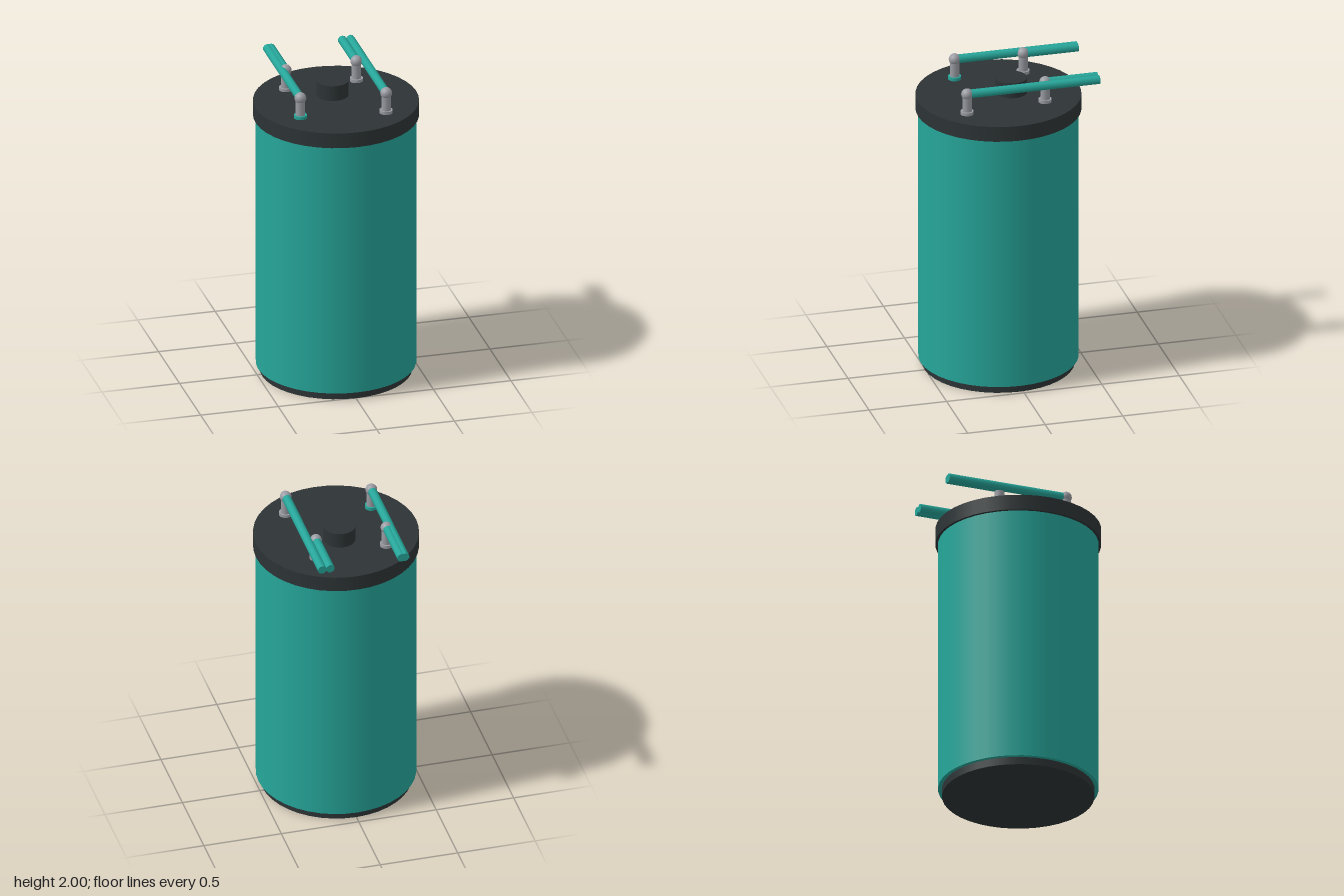
import * as THREE from 'three';

export function createModel() {
  const group = new THREE.Group();
  group.name = 'canisterFilter';

  const mat = (name, color) => {
    const m = new THREE.MeshStandardMaterial({ color });
    m.name = name;
    return m;
  };
  const teal = mat('teal', 0x26a69a);
  const dark = mat('charcoal', 0x2d3436);
  const grey = mat('grey', 0x9a9ca3);

  const add = (parent, name, geometry, material, x, y, z) => {
    const mesh = new THREE.Mesh(geometry, material);
    mesh.name = name;
    mesh.position.set(x, y, z);
    parent.add(mesh);
    return mesh;
  };
  // Upright cylinder between two heights
  const drum = (parent, name, r, y0, y1, material, x, z, sides = 40) =>
    add(parent, name, new THREE.CylinderGeometry(r, r, y1 - y0, sides), material, x, (y0 + y1) / 2, z);

  // Canister
  const cz = 0.03;
  drum(group, 'base', 0.475, 0, 0.06, dark, 0, cz);
  drum(group, 'body', 0.5, 0.05, 1.735, teal, 0, cz);
  drum(group, 'lid', 0.517, 1.73, 1.83, dark, 0, cz);
  drum(group, 'primeButton', 0.1, 1.825, 1.93, dark, 0, -0.052, 32);

  // Ports on the lid, each with a hose running to the back
  const hoseY = 1.963, hoseEnd = -0.553;
  const ports = [
    { x: -0.285, z: 0.235, flange: teal },
    { x: -0.262, z: -0.2, flange: grey },
    { x: 0.198, z: -0.217, flange: grey },
    { x: 0.25, z: 0.3, flange: grey },
  ];
  ports.forEach(({ x, z, flange }, i) => {
    const port = new THREE.Group();
    port.name = 'port' + (i + 1);
    group.add(port);
    drum(port, 'flange', 0.042, 1.825, 1.85, flange, x, z, 12);
    drum(port, 'post', 0.031, 1.83, hoseY, grey, x, z, 12);
    add(port, 'elbow', new THREE.SphereGeometry(0.037, 20, 14), grey, x, hoseY, z);
    const length = z - hoseEnd;
    const hose = add(port, 'hose', new THREE.CylinderGeometry(0.028, 0.028, length, 10),
      teal, x, hoseY, (z + hoseEnd) / 2);
    hose.rotation.x = Math.PI / 2;
  });

  return group;
}
